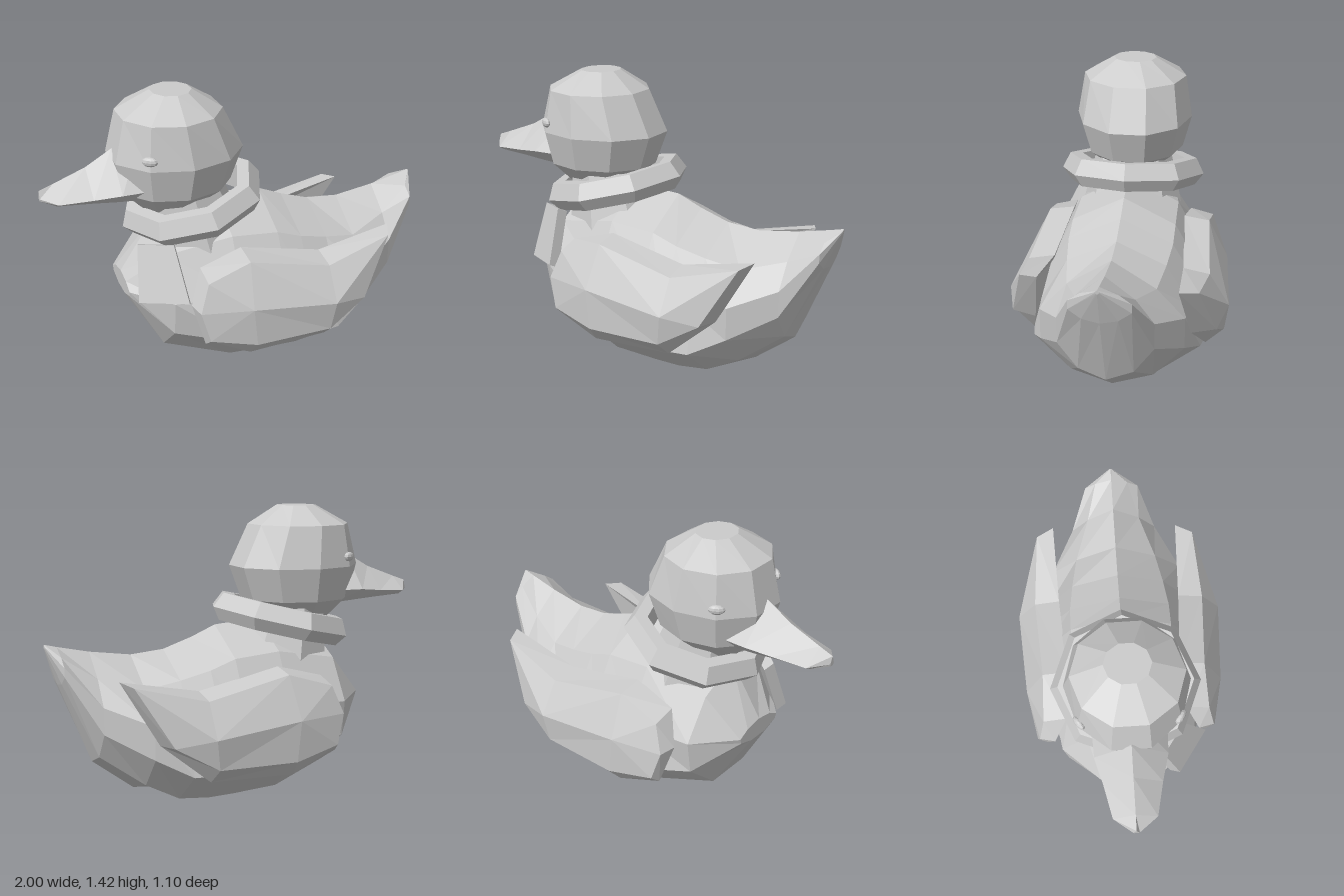
import * as THREE from 'three';

const material = new THREE.MeshStandardMaterial({ color: 0xcccccc, flatShading: true });

// Closed skin over a row of equal-length point loops; each end closes on its centre.
function loft(rings) {
  const n = rings[0].length;
  const centre = (r) => [0, 1, 2].map((k) => r.reduce((s, p) => s + p[k], 0) / n);
  const tris = [];
  const first = rings[0], last = rings[rings.length - 1];
  const a = centre(first), b = centre(last);
  for (let j = 0; j < n; j++) {
    const k = (j + 1) % n;
    tris.push([a, first[k], first[j]], [b, last[j], last[k]]);
    for (let i = 0; i < rings.length - 1; i++) {
      const p = rings[i], q = rings[i + 1];
      tris.push([p[j], p[k], q[k]], [p[j], q[k], q[j]]);
    }
  }
  // Turn the faces outward whichever way the loops run.
  const v = (p) => new THREE.Vector3(...p);
  const volume = tris.reduce((s, t) => s + v(t[0]).dot(v(t[1]).cross(v(t[2]))), 0);
  if (volume < 0) tris.forEach((t) => t.reverse());
  const g = new THREE.BufferGeometry();
  g.setAttribute('position', new THREE.Float32BufferAttribute(tris.flat(2), 3));
  g.computeVertexNormals();
  return g;
}

// Loop across the x axis: half profile of [width, height] fractions, mirrored in z.
function section(x, bottom, top, w, half) {
  const at = ([fz, fy], s) => [x, bottom + (top - bottom) * fy, s * w * fz];
  const right = half.map((p) => at(p, 1));
  const left = half.filter((p) => p[0] > 0).reverse().map((p) => at(p, -1));
  return [...right, ...left];
}

// Level ten-sided loop between two x values, flat towards the beak and the back.
function levelRing(y, x0, x1, halfWidth) {
  return Array.from({ length: 10 }, (_, i) => {
    const t = ((i + 0.5) * Math.PI) / 5;
    const rx = (x1 - x0) / 2 / Math.cos(Math.PI / 10);
    return [(x0 + x1) / 2 + rx * Math.cos(t), y, halfWidth * Math.sin(t)];
  });
}

function makeWing(side) {
  // [x, y, z] rim against the body, then the outer rim, then the bulging ridge
  const inner = [
    [-0.31, 0.61, 0.31], [-0.09, 0.67, 0.29], [0.32, 0.59, 0.32], [0.7, 0.67, 0.33], [0.53, 0.36, 0.38],
    [0.31, 0.17, 0.44], [-0.1, 0.16, 0.45], [-0.33, 0.25, 0.43], [-0.38, 0.45, 0.38],
  ];
  const outer = [
    [-0.31, 0.58, 0.43], [-0.09, 0.65, 0.42], [0.32, 0.565, 0.45], [0.66, 0.655, 0.42], [0.5, 0.37, 0.5],
    [0.3, 0.25, 0.53], [-0.09, 0.24, 0.52], [-0.32, 0.29, 0.48], [-0.36, 0.44, 0.46],
  ];
  const a = [-0.11, 0.44, 0.52], b = [0.32, 0.4, 0.55];
  const ridge = [a, a, b, b, b, b, a, a, a];
  // the far wing is slightly longer and lower
  const [length, drop] = side < 0 ? [1.05, 0.02] : [1, 0];
  const place = ([x, y, z]) => [x * length, y - drop, z * side];
  return loft([inner, outer, ridge].map((ring) => ring.map(place)));
}

export function createModel() {
  const model = new THREE.Group();
  const add = (name, geometry) => {
    const mesh = new THREE.Mesh(geometry, material);
    mesh.name = name;
    model.add(mesh);
    return mesh;
  };

  // Body with broad shoulders, running into a keeled, pointed tail: [x, bottom, top, half width, profile]
  const chest = [[0, 1], [0.58, 0.84], [0.95, 0.53], [0.88, 0.26], [0.35, 0], [0, 0]];
  const broad = [[0, 1], [0.58, 0.84], [0.9, 0.53], [1, 0.23], [0.5, 0], [0, 0]];
  const keeled = [[0, 1], [0.58, 0.8], [0.95, 0.58], [0.95, 0.34], [0.55, 0.1], [0, 0]];
  add('body', loft([
    [-0.625, 0.4, 0.5, 0.16, chest],
    [-0.45, 0.1, 0.76, 0.36, chest],
    [-0.12, 0.015, 0.85, 0.44, broad],
    [0.12, 0.003, 0.83, 0.45, broad],
    [0.25, 0, 0.775, 0.45, broad],
    [0.4, 0.01, 0.725, 0.42, broad],
    [0.57, 0.03, 0.71, 0.37, keeled],
    [0.78, 0.19, 0.74, 0.24, keeled],
    [0.94, 0.59, 0.775, 0.15, keeled],
    [1.0, 0.77, 0.79, 0.01, keeled],
  ].map((s) => section(...s))));

  // Neck
  const neck = add('neck', new THREE.CylinderGeometry(0.2, 0.27, 0.3, 8));
  neck.position.set(-0.26, 0.77, 0);
  neck.rotation.z = 0.2;

  // Head, full at the cheeks and flattened on top
  add('head', loft([
    [0.83, -0.49, -0.23, 0.12],
    [0.95, -0.605, -0.06, 0.255],
    [1.12, -0.645, 0, 0.3],
    [1.33, -0.595, -0.1, 0.265],
    [1.425, -0.43, -0.24, 0.11],
  ].map((r) => levelRing(...r))));

  // Beak with a raised ridge and a bevelled underside
  const beakHalf = [[0, 1], [1, 0.26], [0.6, 0]];
  add('beak', loft([
    [-0.5, 0.92, 1.2, 0.18],
    [-0.64, 0.93, 1.165, 0.175],
    [-0.77, 0.935, 1.09, 0.14],
    [-0.93, 0.94, 1.03, 0.105],
    [-1.0, 0.955, 1.005, 0.015],
  ].map((s) => section(...s, beakHalf))));

  // Tilted eight-sided collar
  const profile = [[0.25, -0.06], [0.33, -0.07], [0.375, -0.01], [0.335, 0.07], [0.27, 0.07], [0.25, -0.06]];
  const collar = add('collar', new THREE.LatheGeometry(profile.map((p) => new THREE.Vector2(...p)), 8));
  collar.position.set(-0.24, 0.842, 0);
  collar.rotation.z = 0.24;

  // Hanging end of the collar scarf, on one side of the chest
  const flap = [[-0.58, 0.72, 0.17], [-0.43, 0.74, 0.28], [-0.4, 0.48, 0.41], [-0.61, 0.45, 0.26]];
  add('scarfEnd', loft([flap, flap.map(([x, y, z]) => [x + 0.02, y - 0.025, z - 0.05])]));

  for (const side of [1, -1]) {
    add(side > 0 ? 'frontWing' : 'backWing', makeWing(side));

    // Small oval eyes lying on the cheeks
    const eye = add(side > 0 ? 'frontEye' : 'backEye', new THREE.SphereGeometry(1, 10, 6));
    eye.scale.set(0.04, 0.024, 0.018);
    eye.position.set(-0.52, 1.17, side * 0.234);
    eye.rotation.y = -side * 0.6;
  }

  return model;
}
